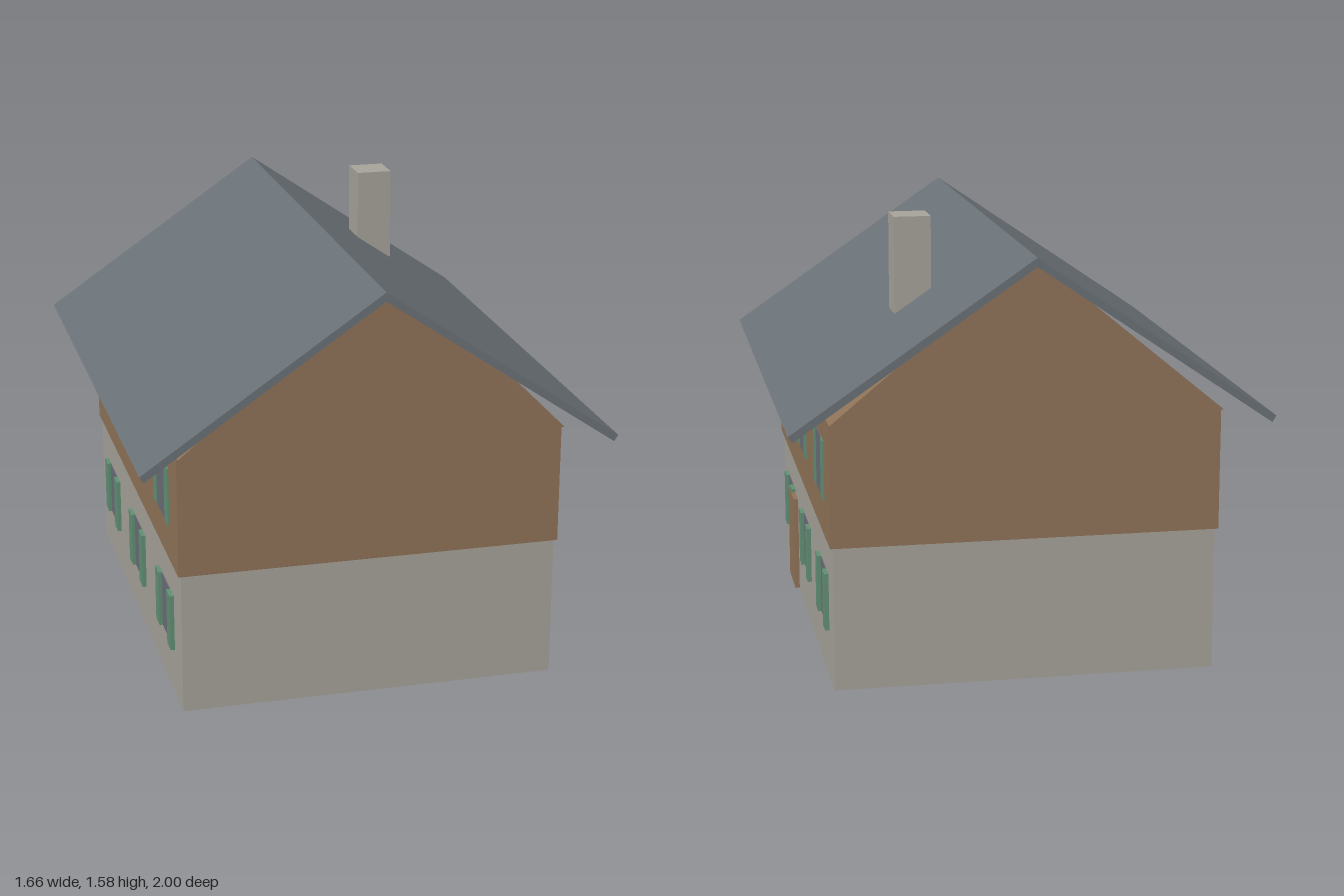
import * as THREE from 'three';

const material = (name, color) => {
  const m = new THREE.MeshStandardMaterial({ color });
  m.name = name;
  return m;
};

export function createModel() {
  const house = new THREE.Group();
  house.name = 'house';
  const plaster = material('plaster', 0xa5a299);
  const wood = material('wood', 0x8f7358);
  const slate = material('slate', 0x6a7176);
  const glass = material('glass', 0x696d74);
  const green = material('shutter green', 0x618f74);

  // Box given by its min and max corners
  function box(name, mat, [x0, y0, z0], [x1, y1, z1], parent = house) {
    const mesh = new THREE.Mesh(new THREE.BoxGeometry(x1 - x0, y1 - y0, z1 - z0), mat);
    mesh.position.set((x0 + x1) / 2, (y0 + y1) / 2, (z0 + z1) / 2);
    mesh.name = name;
    parent.add(mesh);
  }

  // Outline in x and y, extruded along the length of the house
  function prism(name, mat, points, halfLength) {
    const shape = new THREE.Shape(points.map(([x, y]) => new THREE.Vector2(x, y)));
    const geometry = new THREE.ExtrudeGeometry(shape, { depth: halfLength * 2, bevelEnabled: false });
    geometry.translate(0, 0, -halfLength);
    const mesh = new THREE.Mesh(geometry, mat);
    mesh.name = name;
    house.add(mesh);
  }

  // Walls
  box('groundFloor', plaster, [-0.67, 0, -0.84], [0.67, 0.51, 0.84]);
  box('upperFloor', wood, [-0.68, 0.51, -0.85], [0.68, 0.945, 0.85]);
  prism('gable', wood, [[-0.68, 0.945], [0.68, 0.945], [0, 1.507]], 0.88);

  // Roof of two thin slopes
  prism('roof', slate, [
    [0, 1.512], [-0.83, 0.945], [-0.816, 0.923],
    [0, 1.481], [0.816, 0.923], [0.83, 0.945],
  ], 1);
  box('chimney', plaster, [0.27, 1.1, -0.48], [0.4, 1.58, -0.35]);

  // Three shuttered windows per floor on both long sides
  const floors = [
    { wall: 0.67, bottom: 0.17, top: 0.375 },
    { wall: 0.68, bottom: 0.64, top: 0.85 },
  ];
  for (const side of [-1, 1]) {
    for (const { wall, bottom, top } of floors) {
      for (const z of [-0.56, 0, 0.56]) {
        const group = new THREE.Group();
        group.name = 'window';
        const panel = (name, mat, out, z0, z1) => {
          const xs = [side * (wall - 0.005), side * out].sort((a, b) => a - b);
          box(name, mat, [xs[0], bottom, z + z0], [xs[1], top, z + z1], group);
        };
        panel('pane', glass, wall + 0.003, -0.075, 0.075);
        panel('shutter', green, 0.685, -0.14, -0.075);
        panel('shutter', green, 0.685, 0.075, 0.14);
        house.add(group);
      }
    }
  }

  // Door on the left side
  box('door', wood, [0.66, 0, 0.32], [0.687, 0.36, 0.525]);

  return house;
}
